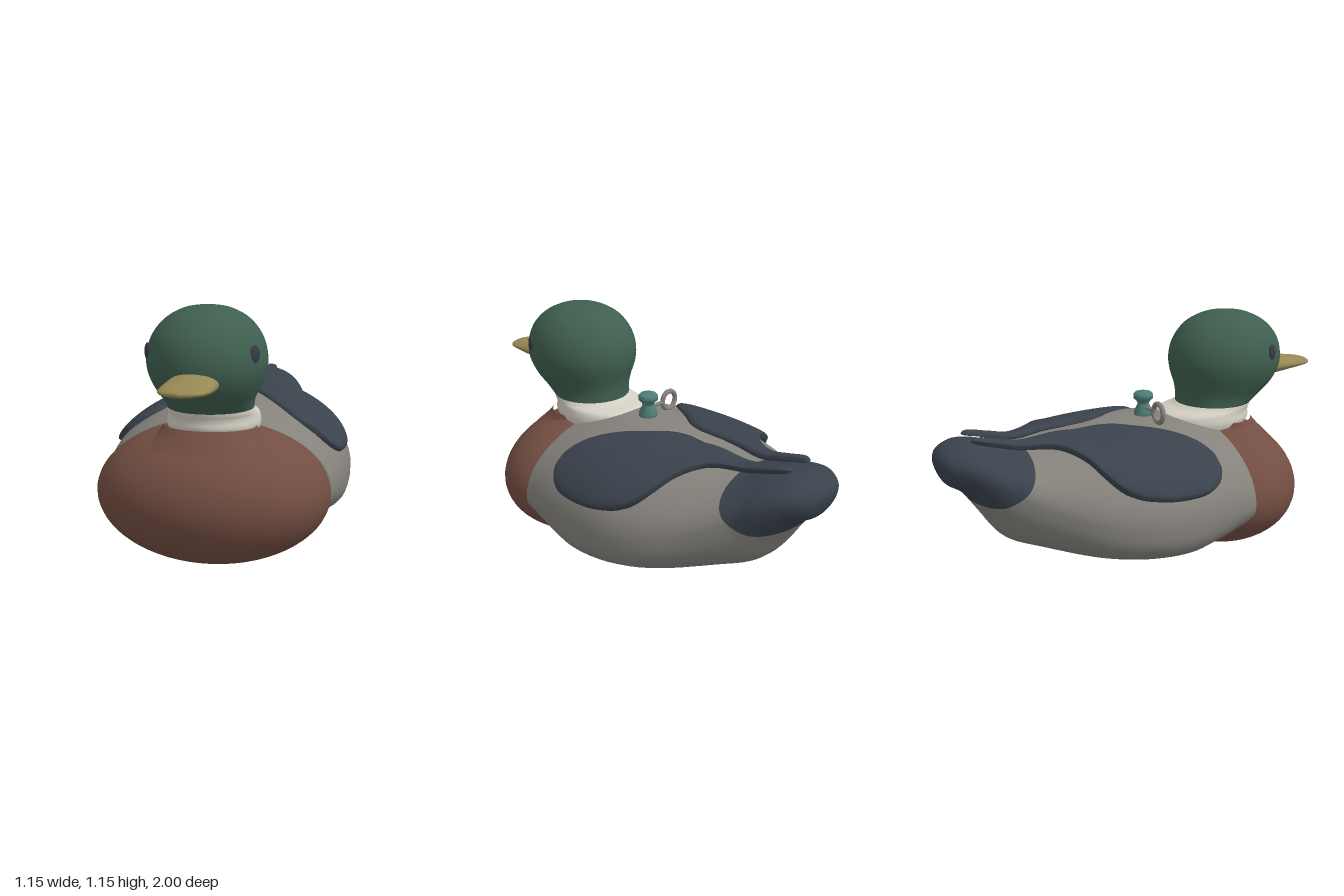
import * as THREE from 'three';

const mat = (name, color, side = THREE.FrontSide) => {
  const m = new THREE.MeshStandardMaterial({ color, side });
  m.name = name;
  return m;
};

// Smooth interpolation through the rows of a small table, t in 0..1
function spline(table, t) {
  const f = Math.min(Math.max(t, 0), 1) * (table.length - 1);
  const i = Math.min(Math.floor(f), table.length - 2), u = f - i;
  const row = (k) => table[Math.min(Math.max(k, 0), table.length - 1)];
  return table[i].map((b, c) => {
    const a = row(i - 1)[c], d = row(i + 1)[c], e = row(i + 2)[c];
    return b + 0.5 * u * (d - a + u * (2 * a - 5 * b + 4 * d - e + u * (3 * (b - d) + e - a)));
  });
}

// Skin over closed rings of points: fn(t, k) with t along the rows, k around the ring
function loft(rows, cols, fn) {
  const pos = [], idx = [];
  for (let i = 0; i <= rows; i++)
    for (let j = 0; j < cols; j++) pos.push(...fn(i / rows, j / cols));
  for (let i = 0; i < rows; i++)
    for (let j = 0; j < cols; j++) {
      const a = i * cols + j, b = i * cols + ((j + 1) % cols);
      idx.push(a, b, a + cols, b, b + cols, a + cols);
    }
  const g = new THREE.BufferGeometry();
  g.setAttribute('position', new THREE.Float32BufferAttribute(pos, 3));
  g.setIndex(idx);
  g.computeVertexNormals();
  return g;
}

// Body stations: z, half width, top, bottom, widest height, belly squareness
const BODY = [
  [0.34, 0.525, 0.632, 0.12, 0.32, 2], [0.25, 0.54, 0.655, 0.1, 0.32, 2.2],
  [0.15, 0.555, 0.672, 0.095, 0.32, 2.6], [0, 0.572, 0.68, 0.085, 0.32, 3],
  [-0.2, 0.565, 0.672, 0.1, 0.33, 3], [-0.4, 0.5, 0.638, 0.13, 0.35, 2.8],
  [-0.6, 0.37, 0.62, 0.175, 0.42, 2.4], [-0.72, 0.29, 0.65, 0.22, 0.48, 2.2],
  [-0.81, 0.25, 0.675, 0.34, 0.54, 2], [-0.89, 0.2, 0.682, 0.45, 0.58, 2],
  [-0.96, 0.135, 0.66, 0.5, 0.59, 2], [-0.99, 0.065, 0.628, 0.56, 0.595, 2],
  [-1, 0, 0.6, 0.6, 0.6, 2],
];

function bodyPoint(s, a) {
  const [z, w, top, bot, mid, n] = spline(BODY, s);
  const c = Math.cos(a), sn = Math.sin(a);
  if (c >= 0) return [w * sn, mid + (top - mid) * c, z];
  return [w * Math.sign(sn) * Math.abs(sn) ** (2 / n), mid - (mid - bot) * (-c) ** (2 / n), z];
}

function bisect(lo, hi, isPast) {
  for (let i = 0; i < 30; i++) {
    const m = (lo + hi) / 2;
    if (isPast(m)) hi = m; else lo = m;
  }
  return (lo + hi) / 2;
}
const stationAt = (z) => bisect(0, 1, (s) => spline(BODY, s)[0] < z);

// Curved colour border between body and tail
const tailBorder = (a) => bisect(0.35, 0.95, (s) => {
  const [, y, z] = bodyPoint(s, a);
  const d = Math.min(-0.6 - z, 0.23);
  return y > 0.62 - 1.75 * d + 3.8 * d * d;
});

// Wing stations: z, inner angle, outer angle (angles measured from the ridge of the back)
const WING = [
  [0.178, 0.88, 0.9], [0.17, 0.74, 1.03], [0.14, 0.6, 1.15], [0.08, 0.46, 1.24],
  [0, 0.33, 1.27], [-0.1, 0.21, 1.27], [-0.18, 0.11, 1.25], [-0.26, 0.07, 1.21],
  [-0.33, 0.075, 1.1], [-0.38, 0.08, 0.9], [-0.42, 0.08, 0.67], [-0.5, 0.09, 0.43],
  [-0.6, 0.1, 0.34], [-0.7, 0.13, 0.37], [-0.8, 0.18, 0.4], [-0.84, 0.21, 0.36], [-0.855, 0.28, 0.29],
];
const LIFT = [[0], [0], [0], [0.004], [0.02], [0.035], [0.028], [0.018], [0.014]];

function wingPoint(t, k) {
  const [z, inner, outer] = spline(WING, t);
  const upper = k < 0.5;
  const v = upper ? k * 2 : 2 - k * 2;
  const a = inner + (outer - inner) * v;
  const [x, y] = bodyPoint(stationAt(z), a);
  const full = Math.min(1, (outer - inner) * 4);
  const h = upper ? 0.03 * full * Math.sqrt(1 - Math.abs(2 * v - 1) ** 5) : -0.012 * full;
  const lift = spline(LIFT, (0.18 - z) / 1.04)[0];
  return [x + Math.sin(a) * h, y + Math.cos(a) * h * 0.7 + lift, z];
}

// Neck and head tables: y, half width, front z, back z
const SKIRT = [[0.54, 0.3, 0.69, 0.3], [0.59, 0.23, 0.645, 0.3], [0.63, 0.205, 0.61, 0.3]];
const COLLAR = [
  [0.6, 0.2, 0.58, 0.13], [0.63, 0.207, 0.608, 0.125], [0.66, 0.203, 0.608, 0.13],
  [0.677, 0.199, 0.61, 0.155], [0.69, 0.193, 0.614, 0.215], [0.705, 0.188, 0.618, 0.245],
];
const HEAD = [
  [0.705, 0.188, 0.618, 0.245], [0.75, 0.198, 0.68, 0.243], [0.8, 0.222, 0.735, 0.235],
  [0.86, 0.247, 0.77, 0.217], [0.92, 0.257, 0.782, 0.21], [0.99, 0.246, 0.772, 0.222],
  [1.05, 0.217, 0.74, 0.255], [1.1, 0.17, 0.685, 0.305], [1.135, 0.105, 0.61, 0.38],
  [1.147, 0.05, 0.55, 0.44], [1.15, 0, 0.495, 0.495],
];
const upright = (table, rows) => loft(rows, 48, (t, k) => {
  const [y, r, front, back] = spline(table, t), a = k * Math.PI * 2;
  return [r * Math.sin(a), y, (front + back) / 2 + ((front - back) / 2) * Math.cos(a)];
});

// Bill stations: z, half width, top, bottom
const BILL = [
  [1, 0, 0.858, 0.85], [0.985, 0.055, 0.868, 0.842], [0.95, 0.092, 0.875, 0.836],
  [0.88, 0.105, 0.885, 0.825], [0.78, 0.104, 0.9, 0.808], [0.7, 0.1, 0.91, 0.8],
];

export function createModel() {
  const group = new THREE.Group();
  const green = mat('head green', 0x3f5f4f), brown = mat('breast brown', 0x734e42);
  const grey = mat('body grey', 0x85827c, THREE.DoubleSide), navy = mat('feather slate', 0x3a424c);
  const gold = mat('bill gold', 0x968854), cream = mat('collar cream', 0xd2cec2);
  const teal = mat('fitting teal', 0x4d7f76), dark = mat('eye dark', 0x363b47);
  const add = (name, geo, material, x = 0, y = 0, z = 0) => {
    const m = new THREE.Mesh(geo, material);
    m.name = name;
    m.position.set(x, y, z);
    group.add(m);
    return m;
  };

  // Body and tail share one surface, divided at the curved border
  const cols = 72, border = [];
  for (let j = 0; j < cols; j++) border.push(tailBorder((j / cols) * Math.PI * 2));
  const limit = (k) => border[Math.round(k * cols) % cols];
  add('body', loft(40, cols, (t, k) => bodyPoint(t * limit(k), k * Math.PI * 2)), grey);
  add('tail', loft(24, cols, (t, k) => bodyPoint(limit(k) + t * (1 - limit(k)), k * Math.PI * 2)), navy);

  // Breast
  add('breast', new THREE.SphereGeometry(1, 56, 36).scale(0.525, 0.315, 0.4), brown, 0, 0.317, 0.4);
  add('neckBase', upright(SKIRT, 8), brown);

  // Neck and head
  add('collar', upright(COLLAR, 16), cream);
  add('head', upright(HEAD, 44), green);
  add('bill', loft(24, 40, (t, k) => {
    const [z, w, top, bot] = spline(BILL, t), a = k * Math.PI * 2;
    return [w * Math.sin(a), (top + bot) / 2 + ((top - bot) / 2) * Math.cos(a), z];
  }), gold);

  for (const side of [1, -1]) {
    const label = side > 0 ? 'left' : 'right';
    // Folded wing
    add(label + 'Wing', loft(72, 48, (t, k) => {
      const [x, y, z] = wingPoint(t, side > 0 ? k : (1 - k) % 1);
      return [side * x, y, z];
    }), navy);
    // Eye
    const eye = add(label + 'Eye', new THREE.SphereGeometry(1, 24, 16).scale(0.03, 0.038, 0.014), dark,
      side * 0.224, 0.963, 0.62);
    eye.rotation.y = side * 1.1;
  }

  // Knob on the back
  const knob = [[0, 0.65], [0.046, 0.65], [0.045, 0.695], [0.028, 0.73], [0.03, 0.745], [0.047, 0.76],
    [0.048, 0.778], [0.038, 0.79], [0, 0.793]].map((p) => new THREE.Vector2(...p));
  add('knob', new THREE.LatheGeometry(knob, 32), teal, 0, 0, 0.035);

  // Pull ring and its stem
  add('pullRing', new THREE.TorusGeometry(0.044, 0.012, 12, 32), grey, -0.145, 0.718, 0.035);
  add('ringStem', new THREE.CylinderGeometry(0.009, 0.009, 0.08, 12).rotateZ(Math.PI / 2), grey, -0.06, 0.718, 0.035);

  // Three small feet under the belly
  for (const [x, z] of [[0.23, 0.15], [-0.23, 0.15], [0, -0.18]]) {
    add('foot', new THREE.SphereGeometry(1, 20, 12).scale(0.036, 0.02, 0.036), teal, x, 0.068, z);
    add('footStem', new THREE.CylinderGeometry(0.02, 0.02, 0.06, 16), teal, x, 0.1, z);
  }
  return group;
}
